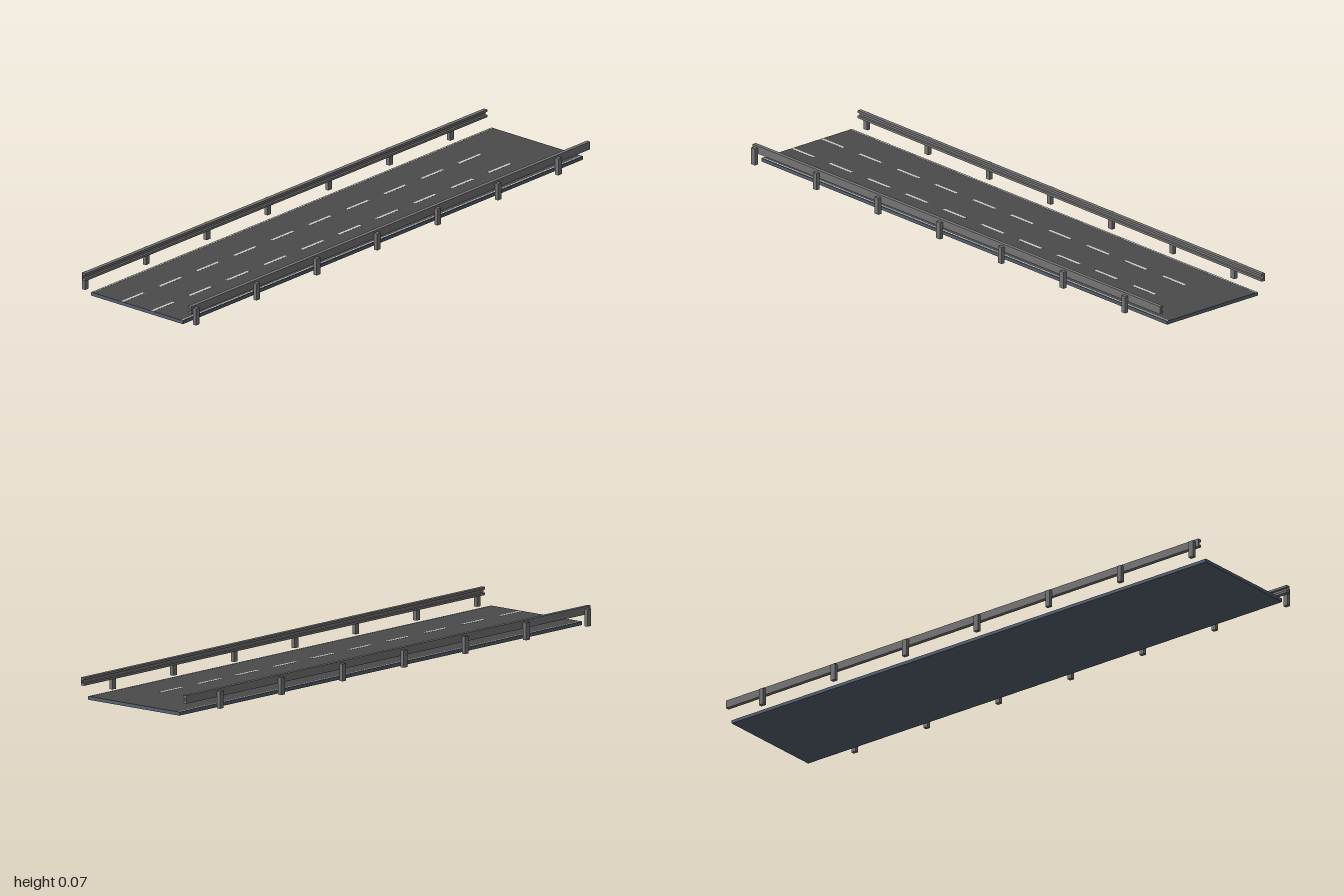
import * as THREE from 'three';

const paint = (color) => new THREE.MeshStandardMaterial({ color, flatShading: true });

function box(parent, name, material, size, position) {
  const mesh = new THREE.Mesh(new THREE.BoxGeometry(...size), material);
  mesh.name = name;
  mesh.position.set(...position);
  parent.add(mesh);
  return mesh;
}

// Rail: channel section, open towards the road, swept along z
function railGeometry(side) {
  const section = [
    [0.238, 0.044], [0.238, 0.071], [0.224, 0.071], [0.224, 0.063],
    [0.232, 0.063], [0.232, 0.052], [0.224, 0.052], [0.224, 0.044],
  ].map(([x, y]) => new THREE.Vector2(side * x, y));
  const geometry = new THREE.ExtrudeGeometry(new THREE.Shape(section), { depth: 2, bevelEnabled: false });
  return geometry.translate(0, 0, -1);
}

// Guard rails draw slightly closer together towards the back
const drift = (z) => 0.0035 * (1 - z);

export function createModel() {
  const model = new THREE.Group();
  model.name = 'roadSection';
  const slabPaint = paint(0x556070);
  const asphaltPaint = paint(0x4a4a4a);
  const linePaint = paint(0xcccccc);
  const steelPaint = paint(0x747474);

  // Road bed and surface
  box(model, 'roadSlab', slabPaint, [0.4, 0.011, 2], [0, 0.0055, 0]);
  box(model, 'asphalt', asphaltPaint, [0.398, 0.001, 2], [0, 0.0115, 0]);

  // Painted lines
  for (const side of [-1, 1]) {
    box(model, 'edgeLine', linePaint, [0.005, 0.0006, 2], [side * 0.1945, 0.0121, 0]);
    for (let i = 0; i < 10; i++) {
      box(model, 'laneDash', linePaint, [0.01, 0.0006, 0.108], [side * 0.065, 0.0121, 0.946 - 0.187 * i]);
    }
  }

  // Guard rails with posts on the outside
  for (const side of [-1, 1]) {
    const guard = new THREE.Group();
    guard.name = side > 0 ? 'leftGuardRail' : 'rightGuardRail';
    const geometry = railGeometry(side);
    const points = geometry.attributes.position;
    for (let i = 0; i < points.count; i++) {
      points.setX(i, points.getX(i) - side * drift(points.getZ(i)));
    }
    geometry.computeVertexNormals();
    const rail = new THREE.Mesh(geometry, steelPaint);
    rail.name = 'rail';
    guard.add(rail);
    for (let i = 0; i < 7; i++) {
      const z = 0.984 - 0.303 * i - (side < 0 ? 0.006 : 0);
      box(guard, 'post', steelPaint, [0.0135, 0.058, 0.018], [side * (0.2445 - drift(z)), 0.035, z]);
    }
    model.add(guard);
  }
  return model;
}
